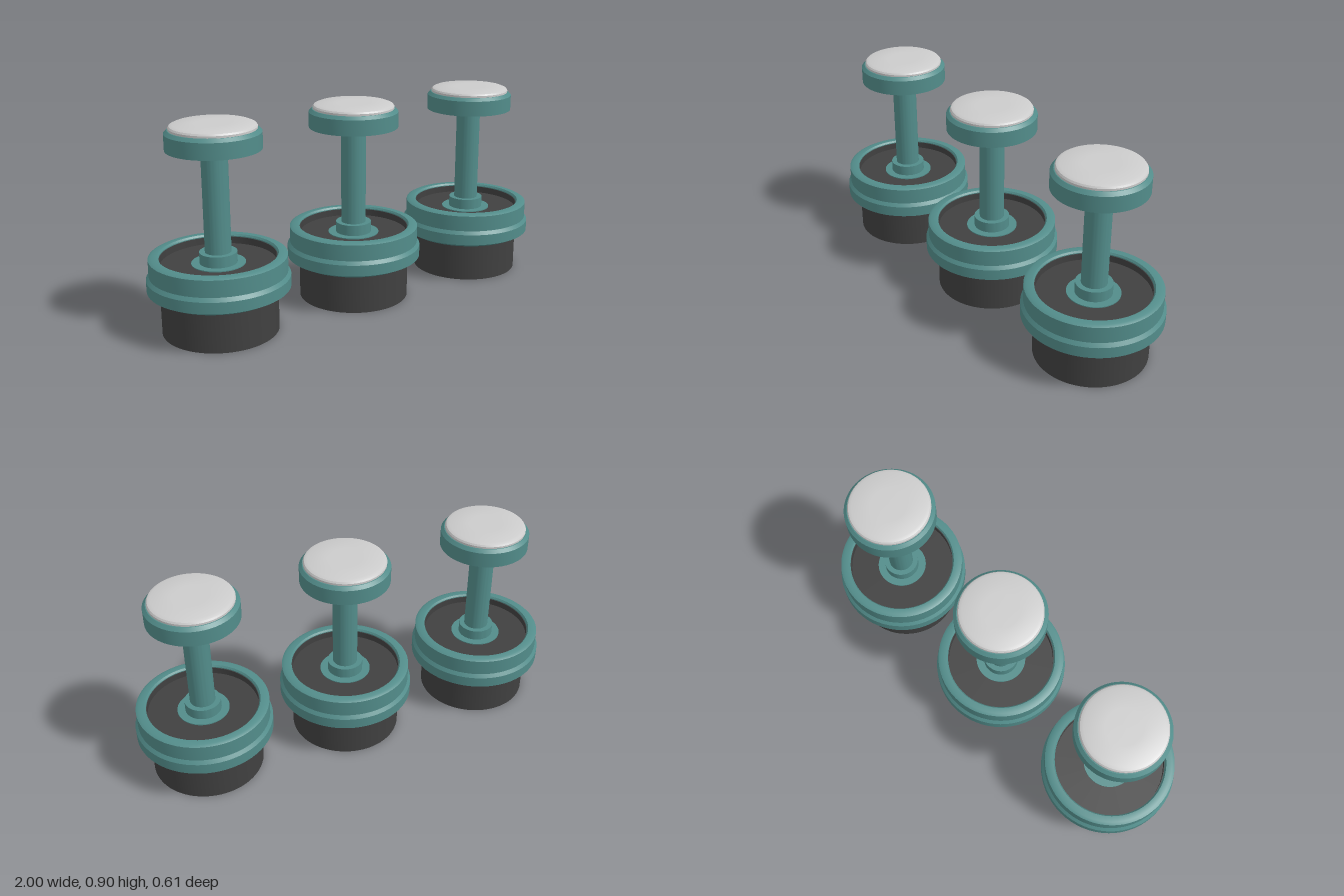
import * as THREE from 'three';
import { toCreasedNormals } from 'three/addons/utils/BufferGeometryUtils.js';

const teal = new THREE.MeshStandardMaterial({ color: 0x528c8a });
const dark = new THREE.MeshStandardMaterial({ color: 0x404040 });
const grey = new THREE.MeshStandardMaterial({ color: 0xcccccc });

// Turned part from [radius, height] pairs, running up the outside and back inside
function turned(name, material, profile) {
  const points = profile.map(([r, y]) => new THREE.Vector2(r, y));
  const geometry = toCreasedNormals(new THREE.LatheGeometry(points, 64), 0.5);
  const mesh = new THREE.Mesh(geometry, material);
  mesh.name = name;
  return mesh;
}

function createPushButton() {
  const button = new THREE.Group();

  // Dark drum with a shallow recess in its top
  button.add(turned('base', dark, [
    [0, 0], [0.25, 0], [0.25, 0.33], [0.245, 0.33], [0.245, 0.3], [0, 0.3],
  ]));

  // Stepped collar ring, hollow underneath around the drum
  button.add(turned('collarRing', teal, [
    [0.275, 0.18], [0.305, 0.196], [0.305, 0.246], [0.293, 0.262],
    [0.293, 0.335], [0.28, 0.342], [0.254, 0.342], [0.248, 0.334],
    [0.248, 0.3], [0.27, 0.3], [0.27, 0.18], [0.275, 0.18],
  ]));

  // Flange and sleeve where the stem enters the base
  button.add(turned('stemSleeve', teal, [
    [0.115, 0.295], [0.115, 0.304], [0.08, 0.304], [0.08, 0.352], [0.05, 0.352],
  ]));

  button.add(turned('stem', teal, [[0.056, 0.3], [0.056, 0.79]]));

  // Head with a slightly conical underside and a chamfered top
  button.add(turned('head', teal, [
    [0, 0.782], [0.04, 0.783], [0.2, 0.796], [0.2, 0.866], [0.186, 0.88], [0, 0.88],
  ]));

  // Rounded pad on the head
  button.add(turned('pad', grey, [
    [0.182, 0.878], [0.182, 0.889], [0.177, 0.896], [0.163, 0.902], [0.08, 0.904], [0, 0.904],
  ]));

  return button;
}

export function createModel() {
  const model = new THREE.Group();
  model.name = 'pushButtons';
  [['rightButton', -0.695], ['middleButton', 0.004], ['leftButton', 0.692]].forEach(([name, x]) => {
    const button = createPushButton();
    button.name = name;
    button.position.x = x;
    model.add(button);
  });
  return model;
}
